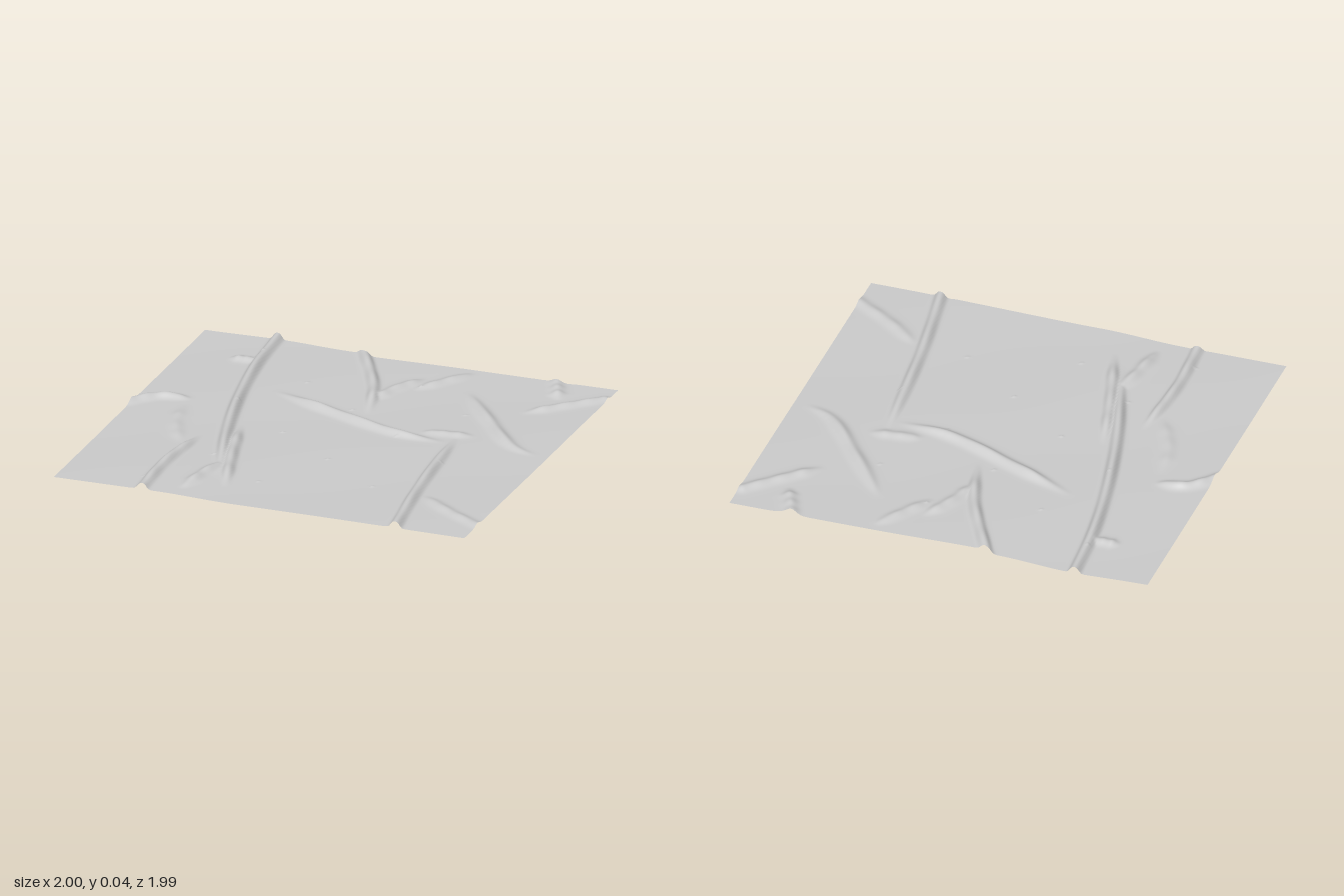
import * as THREE from 'three';

const { lerp, smoothstep } = THREE.MathUtils;
const GRID = 250;

// A crease runs along a smooth path of [x, z] points
function crease(height, width, steepness, ...path) {
  const curve = new THREE.CatmullRomCurve3(path.map(([x, z]) => new THREE.Vector3(x, 0, z)));
  // it fades out at each end that lies inside the sheet
  const inside = ([x, z]) => Math.max(Math.abs(x), Math.abs(z)) < 0.97;
  return {
    height, width, steepness,
    line: curve.getSpacedPoints(24),
    fadeStart: inside(path[0]),
    fadeEnd: inside(path[path.length - 1]),
  };
}
const fold = (height, ...path) => crease(height, 0.024, 3, ...path);
const wrinkle = (height, ...path) => crease(height, 0.029, 2, ...path);

function makeCreases() {
  return [
    // steep folds
    fold(0.031, [-0.66, -1.02], [-0.62, -0.6], [-0.5, 0], [-0.28, 0.74]),
    fold(0.024, [-0.43, 0.04], [-0.35, 0.36], [-0.22, 0.8]),
    fold(0.025, [-0.55, 0.22], [-0.58, 0.6], [-0.56, 0.98]),
    fold(0.025, [-0.25, -1], [-0.04, -0.58], [0.05, -0.27]),
    fold(0.026, [0.52, -0.17], [0.59, 0.5], [0.67, 1.02]),
    // soft wrinkles on the right-hand side
    wrinkle(0.02, [-0.33, 0.48], [-0.37, 0.65], [-0.4, 0.88]),
    wrinkle(0.009, [-0.75, -0.1], [-0.72, 0.1], [-0.6, 0.36]),
    wrinkle(0.021, [-1.02, -0.02], [-0.89, -0.15], [-0.74, -0.17]),
    wrinkle(0.015, [-0.78, -0.71], [-0.63, -0.71]),
    // soft wrinkles in the middle
    wrinkle(0.016, [0, -0.42], [0.05, -0.6], [0.14, -0.78]),
    wrinkle(0.014, [0.13, -0.62], [0.32, -0.92]),
    wrinkle(0.023, [-0.45, -0.4], [-0.12, -0.25], [0.25, -0.1], [0.52, -0.07]),
    wrinkle(0.012, [0.34, -0.16], [0.6, -0.19]),
    // soft wrinkles on the left-hand side
    wrinkle(0.02, [0.36, -0.7], [0.58, -0.4], [0.8, -0.13], [0.95, -0.06]),
    wrinkle(0.018, [0.68, -0.98], [0.78, -0.74]),
    wrinkle(0.016, [0.68, -0.53], [0.97, -0.82]),
    wrinkle(0.012, [0.63, 0.56], [0.8, 0.7], [1.02, 0.84]),
  ];
}

// Bell-shaped cross-section around the nearest point of the path
function creaseHeight(c, x, z) {
  const n = c.line.length - 1;
  let nearest = Infinity, t = 0;
  for (let i = 0; i < n; i++) {
    const p = c.line[i], q = c.line[i + 1];
    const dx = q.x - p.x, dz = q.z - p.z;
    const s = Math.min(1, Math.max(0, ((x - p.x) * dx + (z - p.z) * dz) / (dx * dx + dz * dz)));
    const d = Math.hypot(x - p.x - s * dx, z - p.z - s * dz);
    if (d < nearest) {
      nearest = d;
      t = (i + s) / n;
    }
  }
  const fade = (c.fadeStart ? smoothstep(t, 0, 0.3) : 1) * (c.fadeEnd ? smoothstep(1 - t, 0, 0.3) : 1);
  const waver = 1 + 0.1 * Math.sin(t * 23 + c.height * 900);
  const width = c.width * (0.6 + 0.4 * fade);
  return c.height * fade * waver * Math.exp(-Math.pow(nearest / width, c.steepness));
}

const bell = (x, centre, width) => Math.exp(-(((x - centre) / width) ** 2));

// Outline: the rim is drawn inwards where folds cross it
const backEdge = (x) => -0.985 - 0.012 * bell(x, -0.66, 0.2) + 0.014 * smoothstep(x, -0.6, -0.27)
  + 0.027 * smoothstep(x, -0.27, -0.21) - 0.009 * smoothstep(x, -0.2, 0.3) + 0.016 * bell(x, 0.71, 0.05);
const frontEdge = (x) => 0.945 + 0.025 * smoothstep(x, -0.5, -0.1) + 0.02 * smoothstep(x, -0.1, 1)
  - 0.011 * bell(x, -0.56, 0.03) - 0.008 * bell(x, 0.645, 0.03);

// Tiny specks scattered evenly over the sheet
const specks = Array.from({ length: 14 }, (_, i) => [
  ((i * 0.618) % 1) * 1.3 - 0.65,
  ((i + 0.5) / 14) * 1.7 - 0.85,
]);

export function createModel() {
  const group = new THREE.Group();
  group.name = 'wrinkledSheet';
  const creases = makeCreases();

  // Fine grid fitted to the outline, then raised along the creases
  const geometry = new THREE.PlaneGeometry(2, 2, GRID, GRID).rotateX(-Math.PI / 2);
  const pos = geometry.attributes.position;
  for (let i = 0; i < pos.count; i++) {
    const u = (pos.getX(i) + 1) / 2;
    const v = (pos.getZ(i) + 1) / 2;
    const x = lerp(-1 + 0.02 * v, 0.985 + 0.012 * v, u);
    const z = lerp(backEdge(x), frontEdge(x), v);
    const heights = creases.map((c) => creaseHeight(c, x, z));
    const highest = Math.max(...heights);
    const total = heights.reduce((a, b) => a + b, 0);
    let y = 0.001 + highest + 0.15 * (total - highest);
    y += 0.001 * Math.sin(5 * x + 2 * z) * Math.cos(4 * z - x);
    for (const [sx, sz] of specks) y += 0.006 * bell(Math.hypot(x - sx, z - sz), 0, 0.006);
    pos.setXYZ(i, x, y, z);
  }
  geometry.computeVertexNormals();

  const material = new THREE.MeshStandardMaterial({ color: 0xcccccc, side: THREE.DoubleSide });
  const sheet = new THREE.Mesh(geometry, material);
  sheet.name = 'sheet';
  group.add(sheet);
  return group;
}
